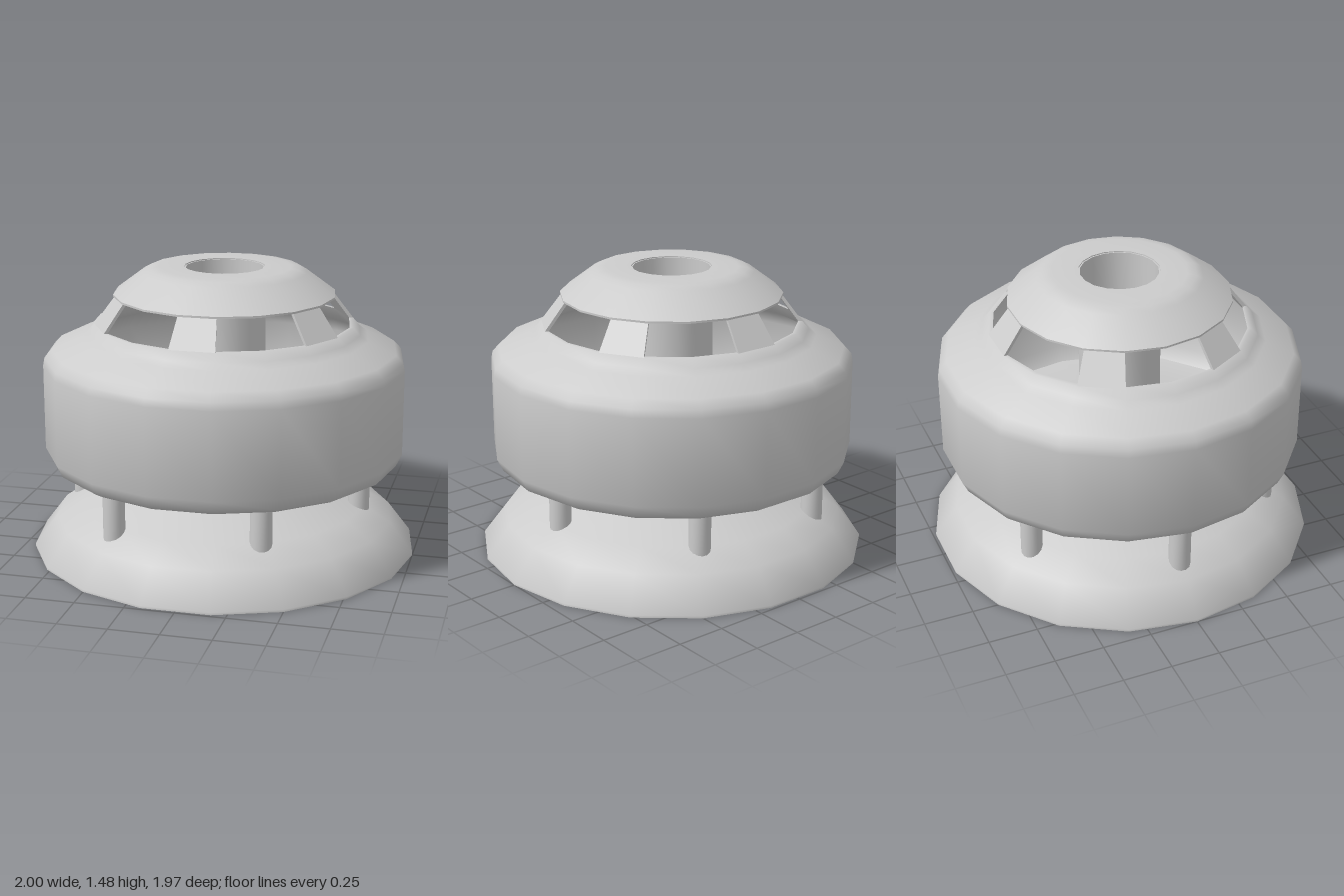
import * as THREE from 'three';
import { toCreasedNormals } from 'three/addons/utils/BufferGeometryUtils.js';

const SIDES = 18;
const STEP = (Math.PI * 2) / SIDES;
const material = new THREE.MeshStandardMaterial({ color: 0xcccccc, side: THREE.DoubleSide });

function part(name, geometry, crease = 0.9) {
  const mesh = new THREE.Mesh(toCreasedNormals(geometry, crease), material);
  mesh.name = name;
  return mesh;
}

// Turned section; corners fall on the x axis
function turned(profile, start = 0, count = SIDES) {
  const points = profile.map(([r, y]) => new THREE.Vector2(r, y));
  return new THREE.LatheGeometry(points, count, Math.PI / 2 + start * STEP, count * STEP);
}

// Flat end of a pillar, spanning its closed profile
function pillarCap(profile, step) {
  const shape = new THREE.Shape(profile.map(([r, y]) => new THREE.Vector2(r, y)));
  return new THREE.ShapeGeometry(shape).rotateY(step * STEP);
}

export function createModel() {
  const model = new THREE.Group();

  // Flared base with thin walls, rising into the neck
  model.add(part('baseSkirt', turned([
    [0.45, 0.46], [0.45, 0.35], [0.74, 0.25], [0.88, 0.17], [1, 0.012], [1, 0],
    [0.985, 0], [0.87, 0.155], [0.735, 0.235], [0.44, 0.335], [0.44, 0.46],
  ].reverse())));

  // Hollow drum with rounded edges and a sloping shoulder
  model.add(part('drum', turned([
    [0.2, 0.58], [0.45, 0.455], [0.86, 0.455], [0.9, 0.478], [0.93, 0.54],
    [0.93, 0.98], [0.922, 1.02], [0.885, 1.06], [0.74, 1.12], [0.7, 1.15], [0.665, 1.19],
    [0.645, 1.19], [0.68, 1.14], [0.73, 1.1], [0.87, 1.045], [0.905, 0.98],
    [0.905, 0.55], [0.85, 0.48], [0.45, 0.48], [0.2, 0.6],
  ])));

  // Six pillars leave six two-panel windows between them
  const pillarProfile = [[0.645, 1.19], [0.665, 1.19], [0.552, 1.34], [0.532, 1.34]];
  const closedProfile = [...pillarProfile, pillarProfile[0]];
  for (let i = 0; i < 6; i++) {
    const pillar = new THREE.Group();
    pillar.name = 'windowPillar';
    const start = i * 3 + 1;
    pillar.add(part('pillarWall', turned(closedProfile, start, 1), 0.5));
    pillar.add(part('pillarSide', pillarCap(pillarProfile, start)));
    pillar.add(part('pillarSide', pillarCap(pillarProfile, start + 1)));
    model.add(pillar);
  }

  // Domed roof with a round opening
  model.add(part('roof', turned([
    [0.53, 1.33], [0.567, 1.33], [0.567, 1.34], [0.42, 1.45], [0.385, 1.468], [0.34, 1.475],
    [0.205, 1.475], [0.205, 1.455], [0.34, 1.455], [0.405, 1.435], [0.53, 1.33],
  ])));

  // Central shaft with a closed floor
  model.add(part('centralShaft', turned([
    [0, 0.585], [0.21, 0.585], [0.21, 1.47], [0.198, 1.47], [0.198, 0.6], [0, 0.6],
  ])));

  // Ring of six legs, set slightly to one side
  for (let i = 0; i < 6; i++) {
    const angle = (i * Math.PI) / 3;
    const leg = part('leg', new THREE.CylinderGeometry(0.055, 0.055, 0.3, 14));
    leg.position.set(-0.032 + 0.745 * Math.cos(angle), 0.32, 0.745 * Math.sin(angle));
    model.add(leg);
  }

  return model;
}
